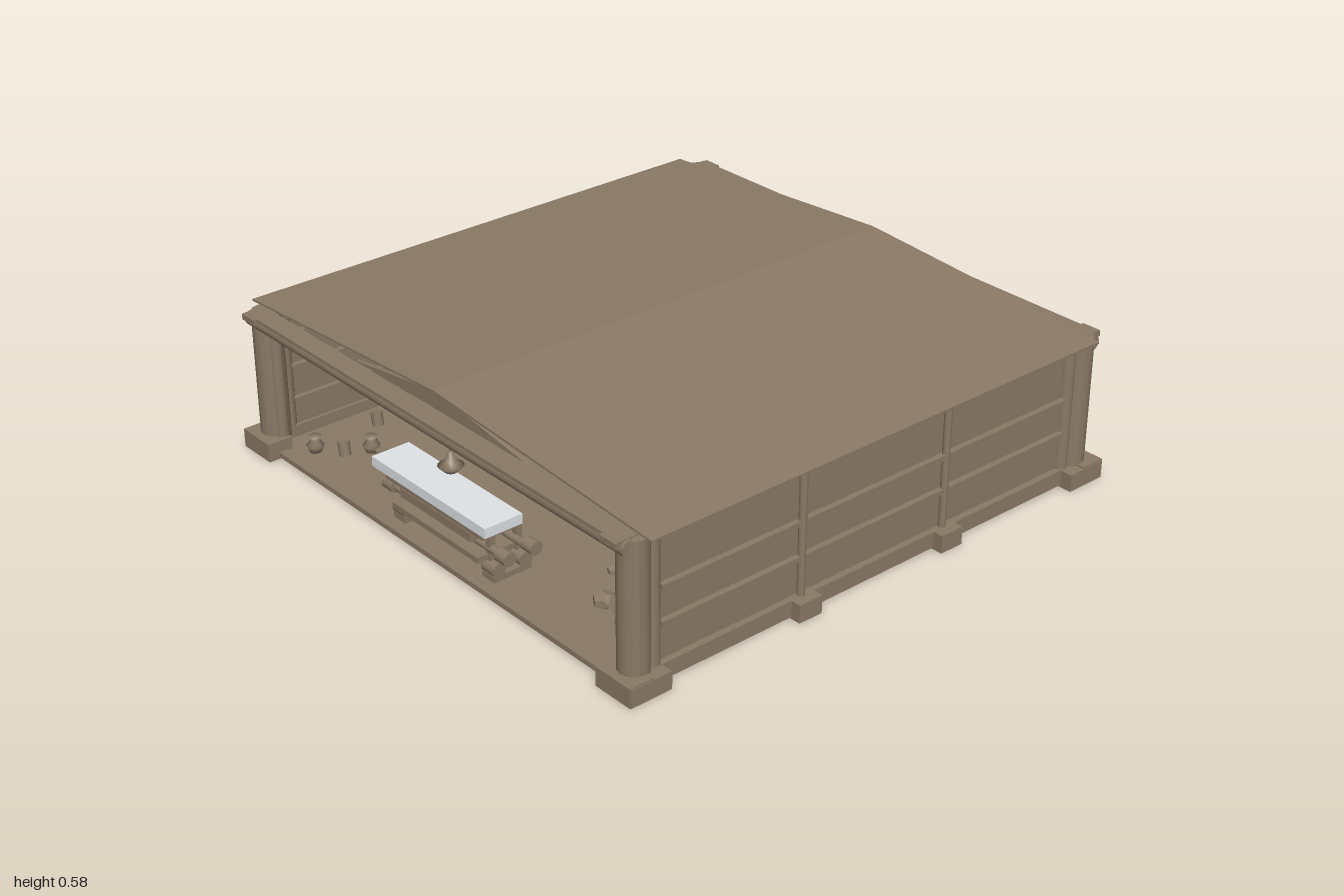
import * as THREE from 'three';

export function createModel() {
  const model = new THREE.Group();
  const wood = new THREE.MeshStandardMaterial({ name: 'brown wood', color: 0x8b7a66 });
  const pale = new THREE.MeshStandardMaterial({ name: 'pale slab', color: 0xe0e4e7 });
  const sheet = wood.clone();
  sheet.side = THREE.DoubleSide;

  const add = (name, geo, x, y, z, mat = wood, parent = model) => {
    const m = new THREE.Mesh(geo, mat);
    m.name = name;
    m.position.set(x, y, z);
    parent.add(m);
    return m;
  };
  const box = (name, w, h, d, x, y, z, mat, parent) =>
    add(name, new THREE.BoxGeometry(w, h, d), x, y, z, mat, parent);
  const pole = (name, r, len, x, y, z, axis = 'y', parent = model) => {
    const g = new THREE.CylinderGeometry(r, r, len, 12);
    if (axis === 'x') g.rotateZ(Math.PI / 2);
    if (axis === 'z') g.rotateX(Math.PI / 2);
    return add(name, g, x, y, z, wood, parent);
  };

  // Floor and sills
  box('floor', 1.9, 0.014, 1.92, 0, 0.014, 0);
  box('frontSill', 1.76, 0.018, 0.03, 0, 0.016, 0.945);
  box('backSill', 1.8, 0.055, 0.05, 0, 0.034, -0.93);
  for (const s of [-1, 1]) box('sideSill', 0.05, 0.055, 1.8, s * 0.93, 0.034, 0);

  // Walls with posts, rails and footings
  for (const s of [-1, 1]) {
    box('sideWall', 0.016, 0.45, 1.8, s * 0.925, 0.285, 0);
    for (const y of [0.19, 0.31, 0.43]) {
      if (y < 0.4) box('outerRail', 0.022, 0.016, 1.68, s * 0.942, y, 0);
      box('innerRail', 0.02, 0.012, 1.7, s * 0.908, y - 0.03, 0);
    }
    for (const z of [-0.3, 0.3]) {
      pole('wallPost', 0.013, 0.45, s * 0.945, 0.285, z);
      box('footing', 0.09, 0.062, 0.09, s * 0.945, 0.031, z);
    }
  }
  box('backWall', 1.8, 0.45, 0.016, 0, 0.285, -0.925);
  for (const y of [0.19, 0.31]) box('outerRail', 1.68, 0.016, 0.022, 0, y, -0.942);
  for (const y of [0.16, 0.25, 0.33, 0.4]) box('innerRail', 1.76, 0.012, 0.02, 0, y, -0.908);
  for (const x of [-0.26, 0.26]) {
    for (const z of [-0.945, -0.908]) pole('wallPost', z < -0.92 ? 0.013 : 0.008, 0.43, x, 0.28, z);
    box('footing', 0.09, 0.062, 0.09, x, 0.031, -0.945);
  }

  // Corner columns
  for (const sx of [-1, 1]) for (const sz of [-1, 1]) {
    const corner = new THREE.Group();
    corner.name = 'cornerPost';
    corner.position.set(sx * 0.92, 0, sz * 0.92);
    model.add(corner);
    pole('column', 0.05, 0.46, 0, 0.275, 0, 'y', corner);
    pole('sideColumn', 0.025, 0.45, sx * 0.01, 0.28, -sz * 0.058, 'y', corner);
    pole('innerColumn', 0.022, 0.45, -sx * 0.04, 0.28, 0, 'y', corner);
    box('footing', 0.15, 0.065, 0.09, 0, 0.0325, sz * 0.033, wood, corner);
    box('footing', 0.09, 0.06, 0.15, sx * 0.033, 0.03, 0, wood, corner);
    box('bracket', 0.07, 0.02, 0.09, -sx * 0.015, 0.498, sz * 0.033, wood, corner);
  }

  // Eave beams and end beams
  for (const s of [-1, 1]) {
    pole('endBeam', 0.028, 1.9, 0, 0.48, s * 0.955, 'x');
    box('beamCap', 1.88, 0.012, 0.07, 0, 0.503, s * 0.95);
    box('innerBeam', 1.8, 0.02, 0.03, 0, 0.452, s * 0.91);
    pole('eaveBeam', 0.014, 1.84, s * 0.925, 0.496, 0, 'z');
    // Small triangular gable under the ridge
    const tri = new THREE.Shape([[-0.43, 0.505], [0.43, 0.505], [0, 0.566]].map(p => new THREE.Vector2(...p)));
    add('gable', new THREE.ExtrudeGeometry(tri, { depth: 0.012, bevelEnabled: false }), 0, 0, s * 0.9 - 0.006);
  }
  pole('ridgePole', 0.008, 1.82, 0, 0.56, 0, 'z');

  // Thin, shallow pitched roof
  const roof = new THREE.Shape([[-1, 0.508], [0, 0.569], [1, 0.508], [1, 0.515], [0, 0.577], [-1, 0.515]]
    .map(p => new THREE.Vector2(...p)));
  add('roof', new THREE.ExtrudeGeometry(roof, { depth: 1.84, bevelEnabled: false }), 0, 0, -0.92, sheet);

  // Hanging rail with pegs at the back
  pole('hangingRail', 0.005, 1.72, 0, 0.415, -0.84, 'x');
  for (let i = 0; i < 22; i++) {
    box('peg', 0.022, 0.014 + 0.008 * (i % 3), 0.015, -0.84 + i * 0.077, 0.403, -0.84);
  }

  // Hanging lantern
  pole('lanternCord', 0.004, 0.15, -0.01, 0.38, 0.86);
  const lantern = [[0, 0.27], [0.02, 0.275], [0.042, 0.297], [0.02, 0.312], [0.006, 0.345], [0, 0.345]];
  add('lantern', new THREE.LatheGeometry(lantern.map(p => new THREE.Vector2(...p)), 14), -0.01, 0, 0.86);

  // Workbench on a timber trolley
  const bench = new THREE.Group();
  bench.name = 'workbench';
  bench.position.z = 0.89;
  model.add(bench);
  box('slab', 0.58, 0.034, 0.14, 0, 0.228, 0, pale, bench);
  box('bed', 0.5, 0.025, 0.14, 0, 0.19, -0.02, wood, bench);
  box('lowerBed', 0.36, 0.03, 0.13, 0, 0.155, -0.02, wood, bench);
  box('frame', 0.44, 0.02, 0.16, 0, 0.095, -0.03, wood, bench);
  for (const z of [0, -0.09]) pole('axle', 0.014, 0.62, 0, 0.122, z, 'x', bench);
  for (const s of [-1, 1]) {
    for (const z of [0, -0.1]) {
      pole('hub', 0.024, 0.05, s * 0.29, 0.122, z, 'x', bench);
      pole('wheel', 0.025, 0.06, s * 0.23, 0.06, z, 'x', bench);
      box('leg', 0.022, 0.12, 0.022, s * 0.22, 0.125, z, wood, bench);
    }
    box('foot', 0.06, 0.02, 0.14, s * 0.23, 0.033, -0.05, wood, bench);
  }

  // Pots and mugs on one side of the floor
  const pot = [[0, 0], [0.02, 0], [0.03, 0.025], [0.016, 0.045], [0.022, 0.058], [0, 0.058]];
  [[-0.84, 0.5], [-0.8, 0.6], [-0.78, 0.86], [-0.7, 0.8], [-0.66, 0.72], [-0.57, 0.74], [-0.47, 0.7], [-0.43, 0.75]]
    .forEach(([x, z], i) => {
      if (i % 2) pole('mug', 0.02, 0.05, x, 0.045, z).rotation.z = 0.15;
      else add('pot', new THREE.LatheGeometry(pot.map(p => new THREE.Vector2(...p)), 10), x, 0.02, z);
    });

  // Rubble heap on the other side
  [[0.56, 0.73, 0.04], [0.62, 0.7, 0.055], [0.69, 0.74, 0.05], [0.75, 0.66, 0.045], [0.82, 0.7, 0.04], [0.45, 0.6, 0.025], [0.6, 0.3, 0.03]]
    .forEach(([x, z, r], i) => {
      const rock = add('rubble', new THREE.DodecahedronGeometry(r), x, 0.035, z);
      rock.scale.y = 0.7;
      rock.rotation.y = i * 1.3;
    });

  return model;
}
